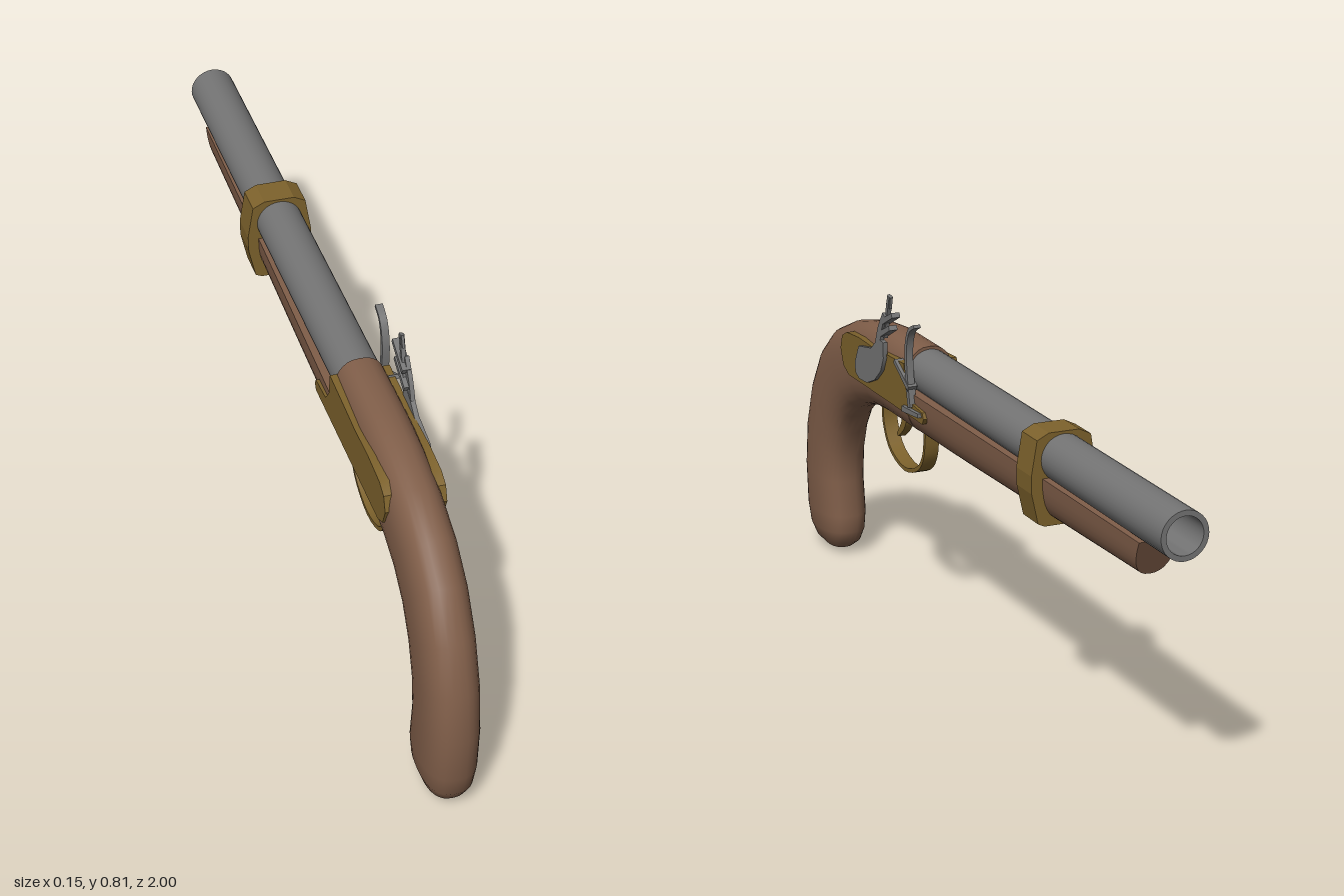
import * as THREE from 'three';
import { toCreasedNormals } from 'three/addons/utils/BufferGeometryUtils.js';

const wood = new THREE.MeshStandardMaterial({ name: 'walnut', color: 0x805e49 });
const brass = new THREE.MeshStandardMaterial({ name: 'brass', color: 0x7d622c });
const steel = new THREE.MeshStandardMaterial({ name: 'steel', color: 0x747474 });

// Closed loft; each station is [topZ, topY, bottomZ, bottomY, halfWidth]
function loft(stations, exponent, flatTop) {
  const N = 32, pos = [], idx = [];
  const power = v => Math.sign(v) * Math.pow(Math.abs(v), 2 / exponent);
  for (const [tz, ty, bz, by, hw] of stations) {
    const k = flatTop ? 1 : 0.5;
    const oz = flatTop ? tz : (tz + bz) / 2, oy = flatTop ? ty : (ty + by) / 2;
    for (let j = 0; j < N; j++) {
      const a = (j / N) * Math.PI * 2;
      let s = power(Math.sin(a));
      if (flatTop) s = Math.min(s, 0);
      pos.push(hw * power(Math.cos(a)), oy + (ty - by) * k * s, oz + (tz - bz) * k * s);
    }
  }
  const M = stations.length;
  for (let i = 0; i < M - 1; i++) for (let j = 0; j < N; j++) {
    const a = i * N + j, b = i * N + (j + 1) % N;
    idx.push(a, b, b + N, a, b + N, a + N);
  }
  const last = (M - 1) * N;
  for (let j = 1; j < N - 1; j++) {
    idx.push(0, j + 1, j, last, last + j, last + j + 1);
  }
  const g = new THREE.BufferGeometry();
  g.setAttribute('position', new THREE.Float32BufferAttribute(pos, 3));
  g.setIndex(idx);
  return toCreasedNormals(g, 0.7);
}

// Flat side profile of [z, y] points, extruded along x from x0 to x1
function plate(points, x0, x1) {
  const shape = new THREE.Shape(points.map(([z, y]) => new THREE.Vector2(-z, y)));
  const g = new THREE.ExtrudeGeometry(shape, { depth: x1 - x0, bevelEnabled: false });
  g.rotateY(Math.PI / 2);
  g.translate(x0, 0, 0);
  return toCreasedNormals(g, 0.5);
}

// Curved bar along [z, y] points, tapering from thickness t0 to t1
function bar(points, t0, t1, x0, x1) {
  const curve = new THREE.SplineCurve(points.map(p => new THREE.Vector2(...p)));
  const n = points.length > 2 ? 20 : 1, a = [], b = [];
  for (let i = 0; i <= n; i++) {
    const p = curve.getPoint(i / n), t = curve.getTangent(i / n);
    const h = (t0 + (t1 - t0) * i / n) / 2;
    a.push([p.x - t.y * h, p.y + t.x * h]);
    b.unshift([p.x + t.y * h, p.y - t.x * h]);
  }
  return plate([...a, ...b], x0, x1);
}

export function createModel() {
  const model = new THREE.Group();
  model.name = 'flintlockPistol';
  const add = (name, geometry, material, parent = model) => {
    const m = new THREE.Mesh(geometry, material);
    m.name = name;
    parent.add(m);
    return m;
  };

  // Stock: breech sweeping down into the rounded grip
  add('gripStock', loft([
    [0.27, 0.699, 0.27, 0.488, 0.063],
    [0.46, 0.699, 0.45, 0.487, 0.063],
    [0.57, 0.688, 0.53, 0.482, 0.063],
    [0.69, 0.660, 0.61, 0.464, 0.063],
    [0.80, 0.614, 0.675, 0.437, 0.063],
    [0.88, 0.548, 0.73, 0.395, 0.063],
    [0.945, 0.45, 0.768, 0.34, 0.063],
    [0.985, 0.34, 0.793, 0.27, 0.063],
    [1.0, 0.22, 0.80, 0.20, 0.063],
    [0.993, 0.11, 0.786, 0.11, 0.063],
    [0.982, 0.058, 0.787, 0.066, 0.058],
    [0.963, 0.028, 0.80, 0.034, 0.047],
    [0.935, 0.011, 0.83, 0.013, 0.03],
    [0.905, 0.003, 0.87, 0.003, 0.01],
  ], 2.5, false), wood);

  // Fore-end cradling the barrel, with a slanted tip
  add('foreStock', loft([
    [-0.893, 0.595, -0.855, 0.51, 0.046],
    [-0.42, 0.597, -0.42, 0.50, 0.051],
    [0.0, 0.599, 0.0, 0.491, 0.058],
    [0.29, 0.60, 0.29, 0.488, 0.063],
  ], 2.5, true), wood);

  // Barrel with an open bore
  const profile = [[0, -0.27], [0.054, -0.27], [0.054, 1], [0.042, 1], [0.042, 0.6], [0, 0.6]];
  const tube = new THREE.LatheGeometry(profile.map(p => new THREE.Vector2(...p)), 32);
  tube.rotateX(-Math.PI / 2);
  tube.translate(0, 0.638, 0);
  add('barrel', toCreasedNormals(tube, 0.6), steel);

  // Barrel band
  const half = [[0.036, 0.698], [0.064, 0.684], [0.077, 0.605], [0.076, 0.565], [0.06, 0.495], [0.045, 0.488]];
  const outline = [...half, ...half.map(([x, y]) => [-x, y]).reverse()];
  const band = new THREE.ExtrudeGeometry(
    new THREE.Shape(outline.map(p => new THREE.Vector2(...p))), { depth: 0.076, bevelEnabled: false });
  band.translate(0, 0, -0.453);
  add('barrelBand', band, brass);

  // Side plates
  const plateOutline = [[0.672, 0.60], [0.66, 0.635], [0.63, 0.65], [0.55, 0.657], [0.45, 0.655], [0.37, 0.66],
    [0.268, 0.665], [0.26, 0.61], [0.235, 0.58], [0.16, 0.574], [0.152, 0.56], [0.16, 0.546], [0.62, 0.544], [0.655, 0.56]];
  add('lockPlate', plate(plateOutline, 0.045, 0.068), brass);
  add('leftSidePlate', plate(plateOutline, -0.068, -0.045), brass);

  // Trigger and guard
  add('triggerGuard', bar([[0.525, 0.50], [0.518, 0.44], [0.475, 0.385], [0.39, 0.362], [0.31, 0.385],
    [0.272, 0.43], [0.262, 0.50]], 0.01, 0.01, -0.018, 0.018), brass);
  add('trigger', bar([[0.405, 0.50], [0.415, 0.465], [0.45, 0.43]], 0.035, 0.009, -0.01, 0.01), brass);

  // Cock: curved body, neck, jaws and clamp screw
  const cock = new THREE.Group();
  cock.name = 'cock';
  model.add(cock);
  add('cockBody', plate([[0.555, 0.595], [0.552, 0.57], [0.53, 0.56], [0.48, 0.562], [0.43, 0.582], [0.39, 0.615],
    [0.372, 0.65], [0.372, 0.69], [0.395, 0.692], [0.42, 0.68], [0.45, 0.657], [0.53, 0.642]], 0.066, 0.077), steel, cock);
  add('cockNeck', bar([[0.41, 0.67], [0.395, 0.715], [0.368, 0.76]], 0.03, 0.014, 0.067, 0.077), steel, cock);
  add('lowerJaw', bar([[0.405, 0.70], [0.335, 0.735]], 0.014, 0.012, 0.056, 0.077), steel, cock);
  add('upperJaw', bar([[0.39, 0.735], [0.318, 0.77]], 0.014, 0.012, 0.056, 0.077), steel, cock);
  add('clampScrew', bar([[0.385, 0.70], [0.352, 0.808]], 0.011, 0.011, 0.061, 0.071), steel, cock);
  add('screwHead', bar([[0.36, 0.78], [0.352, 0.808]], 0.022, 0.018, 0.063, 0.069), steel, cock);

  // Frizzen: striking blade, pan cover arm and foot
  const frizzen = new THREE.Group();
  frizzen.name = 'frizzen';
  model.add(frizzen);
  add('frizzenBlade', bar([[0.192, 0.774], [0.225, 0.755], [0.242, 0.71], [0.24, 0.65], [0.225, 0.57]],
    0.008, 0.016, 0.057, 0.074), steel, frizzen);
  add('panCover', bar([[0.31, 0.662], [0.27, 0.64], [0.225, 0.615]], 0.01, 0.014, 0.053, 0.076), steel, frizzen);
  add('frizzenFoot', bar([[0.262, 0.558], [0.165, 0.566]], 0.014, 0.01, 0.06, 0.077), steel, frizzen);

  for (const part of model.children) part.position.x = -0.003;
  return model;
}
